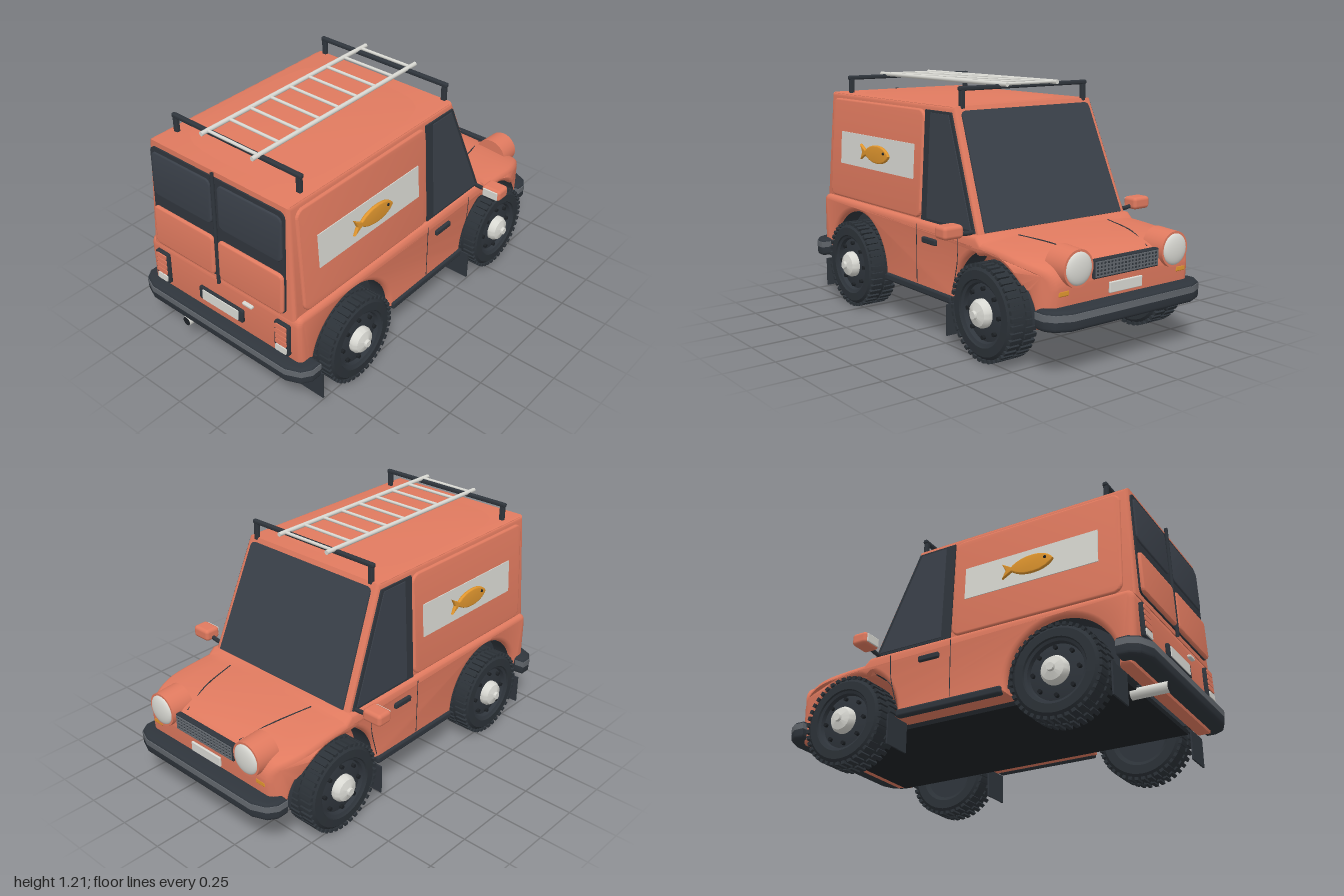
import * as THREE from 'three';
import { mergeGeometries, toCreasedNormals } from 'three/addons/utils/BufferGeometryUtils.js';
import { RoundedBoxGeometry } from 'three/addons/geometries/RoundedBoxGeometry.js';

const mat = (name, color, side = THREE.FrontSide) =>
  Object.assign(new THREE.MeshStandardMaterial({ color, side }), { name });
const M = {
  coral: mat('coral paint', 0xe07a5f),
  dark: mat('charcoal trim', 0x2f353c, THREE.DoubleSide),
  glass: mat('tinted glass', 0x3a4049),
  tyre: mat('rubber', 0x2c3238),
  floor: mat('underbody black', 0x1d2125),
  grey: mat('bumper strip grey', 0x62676d),
  light: mat('pale metal', 0xd8d8d2),
  orange: mat('orange', 0xe0962e),
};

const V = (x, y, z) => new THREE.Vector3(x, y, z);
const rbox = (w, h, d, r = 0.01) => new RoundedBoxGeometry(w, h, d, 3, r);
// half width of the cabin and its rear face, both leaning inward with height
const sideX = y => 0.46 - 0.06 * (y - 0.54);
const rearZ = y => 0.935 - 0.035 * (y - 0.54);

function poly(pts) {
  return new THREE.Shape(pts.map(p => new THREE.Vector2(p[0], p[1])));
}
function roundRect(x0, y0, x1, y1, r) {
  const s = new THREE.Shape();
  s.absarc(x1 - r, y1 - r, r, 0, Math.PI / 2);
  s.absarc(x0 + r, y1 - r, r, Math.PI / 2, Math.PI);
  s.absarc(x0 + r, y0 + r, r, Math.PI, Math.PI * 1.5);
  s.absarc(x1 - r, y0 + r, r, Math.PI * 1.5, Math.PI * 2);
  return s;
}
// extrusion from 0 to depth whose bevel stays inside the outline
function slab(shape, depth, bevel = 0, steps = 1) {
  const g = new THREE.ExtrudeGeometry(shape, {
    depth: depth - 2 * bevel, steps, curveSegments: 16, bevelEnabled: bevel > 0,
    bevelSize: bevel, bevelThickness: bevel, bevelOffset: -bevel, bevelSegments: 3,
  });
  return g.translate(0, 0, bevel);
}
function warp(geo, rule) {
  const p = geo.attributes.position;
  for (let i = 0; i < p.count; i++) p.setXYZ(i, ...rule(p.getX(i), p.getY(i), p.getZ(i)));
  return toCreasedNormals(geo, 0.6);
}
function mirrorX(geo) {
  const g = geo.index ? geo.toNonIndexed() : geo.clone();
  g.scale(-1, 1, 1);
  for (const a of Object.values(g.attributes)) {
    const n = a.itemSize;
    for (let i = 0; i < a.count; i += 3) for (let k = 0; k < n; k++) {
      const b = (i + 1) * n + k, c = (i + 2) * n + k, t = a.array[b];
      a.array[b] = a.array[c]; a.array[c] = t;
    }
  }
  return g;
}

function createWheel() {
  const w = new THREE.Group();
  const lathe = pts => new THREE.LatheGeometry(pts.map(p => new THREE.Vector2(p[0], p[1])), 48);
  const put = (name, g, m) => {
    const mesh = new THREE.Mesh(toCreasedNormals(g.rotateZ(-Math.PI / 2), 0.6), m);
    mesh.name = name; w.add(mesh);
  };
  put('tyre', lathe([[0.13, -0.06], [0.15, -0.075], [0.195, -0.075], [0.216, -0.055], [0.216, 0.055],
    [0.195, 0.075], [0.155, 0.077], [0.145, 0.06]]), M.tyre);
  put('rim', lathe([[0, -0.055], [0.15, -0.055], [0.152, 0.07], [0.138, 0.064], [0.132, 0.045],
    [0.09, 0.055], [0, 0.055]]), M.dark);
  put('hubCap', lathe([[0.066, 0.04], [0.066, 0.075], [0.055, 0.093], [0.02, 0.105], [0.018, 0.118],
    [0, 0.118]]), M.light);
  const lugs = [], bolts = [];
  for (let i = 0; i < 40; i++) for (const s of [-1, 1]) {
    lugs.push(new THREE.BoxGeometry(0.016, 0.064, 0.019).translate(0.217, s * 0.04, 0)
      .rotateY((i + (s > 0 ? 0.5 : 0)) * Math.PI / 20));
  }
  for (let i = 0; i < 8; i++) {
    bolts.push(new THREE.CylinderGeometry(0.01, 0.01, 0.02, 10).translate(0.112, 0.055, 0)
      .rotateY(i * Math.PI / 4));
  }
  put('treadLugs', mergeGeometries(lugs), M.tyre);
  put('wheelBolts', mergeGeometries(bolts), M.floor);
  return w;
}

export function createModel() {
  const van = new THREE.Group();
  van.name = 'van';
  const add = (name, geo, m, x = 0, y = 0, z = 0) => {
    const mesh = new THREE.Mesh(geo, m);
    mesh.name = name; mesh.position.set(x, y, z); van.add(mesh);
    return mesh;
  };
  const both = (name, geo, m) => {
    add(name + 'Left', geo, m);
    add(name + 'Right', mirrorX(geo), m);
  };
  const rod = (name, a, b, r, m) => add(name, new THREE.TubeGeometry(new THREE.LineCurve3(a, b), 1, r, 10), m);
  // plates lying on the cabin sides (drawn as -z, y) and on the tail (x, y)
  const sidePlate = (name, shape, d, bevel, m, off = 0) => both(name,
    warp(slab(shape, d, bevel), (u, v, w) => [sideX(v) + off + w, v, -u]), m);
  const rearPlate = (name, shape, d, bevel, m, off = 0) => add(name,
    warp(slab(shape, d, bevel), (x, y, w) => [x, y, rearZ(y) + off + w]), m);

  // lower body with open wheel arches and tapered, crowned bonnet
  const s = new THREE.Shape();
  s.moveTo(-0.91, 0.2); s.lineTo(-0.935, 0.3); s.lineTo(-0.935, 0.5);
  s.quadraticCurveTo(-0.935, 0.55, -0.9, 0.55); s.lineTo(0.46, 0.55);
  s.bezierCurveTo(0.65, 0.545, 0.8, 0.53, 0.88, 0.49);
  s.quadraticCurveTo(0.925, 0.46, 0.925, 0.4); s.lineTo(0.9, 0.2);
  for (const c of [0.565, -0.575]) s.absarc(c, 0.225, 0.275, -0.09, Math.PI + 0.09);
  s.closePath();
  add('lowerBody', warp(slab(s, 0.97, 0.025, 10), (u, v, w) => {
    const x = (w - 0.485) * (1 - 0.17 * Math.max(0, (u - 0.7) / 0.23) ** 2);
    const drop = u > 0.47 && v > 0.4 ? 0.03 * (x / 0.48) ** 2 : 0;
    return [x, v - drop, -u];
  }), M.coral);

  // cabin and cambered roof skin
  const cabin = poly([[-0.935, 0.53], [-0.915, 1.108], [0.225, 1.108], [0.465, 0.53]]);
  add('cabin', warp(slab(cabin, 0.92, 0.02), (u, v, w) => [(w - 0.46) * sideX(v) / 0.46, v, -u]), M.coral);
  add('roofSkin', warp(new THREE.BoxGeometry(0.84, 0.02, 1.1, 12, 1, 12), (x, y, z) =>
    [x, y + 1.094 + 0.022 * (1 - (x / 0.42) ** 2) * (1 - (z / 0.55) ** 2), z + 0.345]), M.coral);

  // windscreen on the sloping front
  const slope = Math.hypot(0.24, 0.578), screen = new THREE.Shape();
  screen.moveTo(-0.425, 0.025); screen.lineTo(0.425, 0.025);
  screen.lineTo(0.395, slope - 0.05); screen.quadraticCurveTo(0.392, slope - 0.025, 0.365, slope - 0.025);
  screen.lineTo(-0.365, slope - 0.025); screen.quadraticCurveTo(-0.392, slope - 0.025, -0.395, slope - 0.05);
  const ws = add('windscreen', slab(screen, 0.008), M.glass, 0, 0.53, -0.465);
  ws.rotation.set(Math.atan2(0.24, 0.578), Math.PI, 0, 'XYZ');

  // side panels, banners and door windows
  sidePlate('sidePanel', roundRect(-0.88, 0.555, 0.0, 1.08, 0.045), 0.024, 0.01, M.coral, -0.012);
  sidePlate('banner', poly([[-0.77, 0.738], [-0.07, 0.738], [-0.07, 0.908], [-0.77, 0.908]]), 0.005, 0, M.light, 0.011);
  sidePlate('doorWindowFrame', poly([[0.005, 0.552], [0.435, 0.552], [0.215, 1.08], [0.005, 1.08]]), 0.008, 0, M.dark);
  sidePlate('doorGlass', poly([[0.055, 0.565], [0.41, 0.565], [0.2, 1.068], [0.055, 1.068]]), 0.004, 0, M.glass, 0.008);
  for (const side of [1, -1]) {
    const fish = new THREE.Group();
    fish.name = side > 0 ? 'fishLeft' : 'fishRight';
    fish.position.set(side * 0.457, 0.822, 0.415);
    fish.rotation.y = side * Math.PI / 2;
    const body = new THREE.Shape();
    body.moveTo(-0.135, 0.04); body.lineTo(-0.085, 0.012);
    body.bezierCurveTo(-0.03, 0.06, 0.1, 0.06, 0.135, 0);
    body.bezierCurveTo(0.1, -0.06, -0.03, -0.06, -0.085, -0.012);
    body.lineTo(-0.135, -0.04); body.lineTo(-0.115, 0);
    const parts = [['fishBody', toCreasedNormals(slab(body, 0.018, 0.006), 0.6), M.orange],
      ['fishEye', new THREE.SphereGeometry(0.008, 10, 8).translate(0.095, 0.012, 0.017), M.floor]];
    for (const [n, g, m] of parts) fish.add(Object.assign(new THREE.Mesh(g, m), { name: n }));
    van.add(fish);
  }

  // rear doors, lamps and number plate
  rearPlate('rearDoorFrame', roundRect(-0.412, 0.555, 0.412, 1.082, 0.03), 0.008, 0, M.dark);
  for (const side of [1, -1]) {
    const span = (a, b, y0, y1, r) => side > 0 ? roundRect(a, y0, b, y1, r) : roundRect(-b, y0, -a, y1, r);
    rearPlate('rearWindow', span(0.022, 0.402, 0.832, 1.06, 0.03), 0.016, 0.005, M.glass);
    rearPlate('rearDoorPanel', span(0.015, 0.408, 0.56, 0.77, 0.025), 0.024, 0.01, M.coral);
    rearPlate('tailLampFrame', span(0.348, 0.434, 0.332, 0.502, 0.01), 0.02, 0.004, M.dark, -0.004);
    for (let i = 0; i < 4; i++)
      rearPlate('tailLampLens', span(0.358, 0.424, 0.384 + i * 0.028, 0.409 + i * 0.028, 0.005), 0.008, 0, M.coral, 0.014);
    rearPlate('reverseLamp', span(0.358, 0.424, 0.343, 0.376, 0.005), 0.008, 0, M.light, 0.014);
  }
  rod('rearDoorBar', V(0, 0.52, 0.948), V(0, 1.11, 0.932), 0.009, M.dark);
  rearPlate('rearPlateFrame', roundRect(-0.143, 0.358, 0.143, 0.428, 0.008), 0.016, 0.004, M.dark, -0.006);
  rearPlate('rearNumberPlate', roundRect(-0.117, 0.366, 0.117, 0.42, 0.004), 0.005, 0, M.light, 0.01);
  add('tailHandle', rbox(0.06, 0.015, 0.02, 0.005), M.light, 0.177, 0.482, 0.942);

  // bumpers drawn in plan, with a grey strip
  for (const [name, w, turn] of [['frontBumper', 0.47, 0], ['rearBumper', 0.54, Math.PI]]) {
    const plan = grow => {
      const half = [[w - 0.05, 0.86], [w + grow, 0.865], [w + grow, 0.92], [w - 0.03 + grow, 0.965],
        [w - 0.1, 0.994 + grow]];
      return poly([...half, ...half.slice().reverse().map(([x, z]) => [-x, z])]);
    };
    const rise = (g, y) => toCreasedNormals(g.rotateX(-Math.PI / 2).translate(0, y, 0), 0.6);
    add(name, rise(slab(plan(0), 0.092, 0.018), 0.214), M.dark).rotation.y = turn;
    add(name + 'Strip', rise(slab(plan(0.003), 0.03), 0.262), M.grey).rotation.y = turn;
  }

  // headlamps, indicators, grille and front plate
  for (const x of [-0.295, 0.295]) {
    add('headlampHousing', new THREE.CylinderGeometry(0.084, 0.09, 0.12, 32).rotateX(-Math.PI / 2), M.coral, x, 0.468, -0.883);
    add('headlampLens', new THREE.SphereGeometry(0.074, 28, 14).scale(1, 1, 0.3), M.light, x, 0.468, -0.941);
    add('indicator', rbox(0.06, 0.026, 0.04, 0.006), M.orange, x * 1.22, 0.365, -0.905);
  }
  add('grille', rbox(0.4, 0.085, 0.03, 0.006), M.dark, 0, 0.445, -0.92);
  const bars = [];
  for (let i = 0; i < 5; i++) bars.push(new THREE.BoxGeometry(0.38, 0.005, 0.008).translate(0, (i - 2) * 0.016, 0));
  for (let i = 0; i < 19; i++) bars.push(new THREE.BoxGeometry(0.005, 0.07, 0.008).translate((i - 9) * 0.021, 0, 0));
  add('grilleMesh', mergeGeometries(bars), M.grey, 0, 0.445, -0.936);
  add('frontNumberPlate', rbox(0.2, 0.05, 0.012, 0.004), M.light, 0, 0.35, -0.928);

  // bonnet and door seams, handles, sills, mirrors
  const tube = (pts, r) => new THREE.TubeGeometry(new THREE.CatmullRomCurve3(pts.map(p => V(...p))), 16, r, 6);
  both('bonnetSeam', tube([[0.28, 0.539, -0.52], [0.235, 0.526, -0.72], [0.18, 0.486, -0.88]], 0.003), M.dark);
  both('doorSeamFront', tube([[0.485, 0.53, -0.335], [0.485, 0.4, -0.325], [0.485, 0.25, -0.285]], 0.002), M.dark);
  both('doorSeamRear', tube([[0.485, 0.53, 0.01], [0.485, 0.4, 0.01], [0.485, 0.24, 0.01]], 0.002), M.dark);
  both('doorHandle', rbox(0.024, 0.03, 0.115, 0.008).translate(0.488, 0.465, -0.108), M.dark);
  both('sill', rbox(0.04, 0.04, 0.57, 0.012).translate(0.478, 0.214, 0), M.dark);
  both('mirrorArm', tube([[0.44, 0.56, -0.42], [0.5, 0.556, -0.415], [0.56, 0.565, -0.41]], 0.011), M.dark);
  both('mirrorShell', rbox(0.108, 0.062, 0.085, 0.018).translate(0.588, 0.576, -0.41), M.coral);
  both('mirrorGlass', rbox(0.085, 0.044, 0.008, 0.003).translate(0.588, 0.576, -0.367), M.light);

  // wheels, arch liners, mud flaps
  for (const z of [0.575, -0.565]) {
    for (const side of [1, -1]) {
      const wheel = createWheel();
      wheel.name = (z > 0 ? 'rear' : 'front') + 'Wheel' + (side > 0 ? 'Left' : 'Right');
      wheel.position.set(side * 0.46, 0.225, z);
      if (side < 0) wheel.rotation.y = Math.PI;
      van.add(wheel);
    }
    rod('axle', V(-0.42, 0.225, z), V(0.42, 0.225, z), 0.02, M.dark);
    both('archLiner', new THREE.CylinderGeometry(0.272, 0.272, 0.11, 32, 1, true, 0, Math.PI)
      .rotateZ(Math.PI / 2).translate(0.405, 0.225, z), M.dark);
    both('mudFlap', new THREE.BoxGeometry(0.15, 0.15, 0.008).translate(0.455, 0.13, z + 0.265), M.dark);
  }
  add('rearArchFill', new THREE.CylinderGeometry(0.27, 0.27, 0.74, 32, 1, false, 0, Math.PI)
    .rotateZ(Math.PI / 2), M.dark, 0, 0.225, 0.575);
  add('floor', new THREE.BoxGeometry(0.74, 0.024, 1.66), M.floor, 0, 0.19, 0);
  rod('exhaust', V(-0.235, 0.17, 0.8), V(-0.235, 0.17, 0.975), 0.026, M.light);
  add('exhaustEnd', new THREE.CircleGeometry(0.023, 16), M.floor, -0.235, 0.17, 0.974);

  // roof rack and ladder
  for (const z of [0.79, -0.22]) {
    add('rackBar', rbox(0.79, 0.022, 0.024, 0.008), M.dark, 0, 1.188, z);
    for (const x of [-0.376, 0.376]) add('rackPost', rbox(0.026, 0.1, 0.022, 0.006), M.dark, x, 1.143, z);
  }
  for (const x of [-0.155, 0.155]) {
    add('ladderRail', new THREE.CylinderGeometry(0.011, 0.011, 1.12, 12).rotateX(Math.PI / 2), M.light, x, 1.2, 0.28);
  }
  for (let i = 0; i < 9; i++) rod('ladderRung', V(-0.155, 1.2, -0.24 + i * 0.13), V(0.155, 1.2, -0.24 + i * 0.13), 0.008, M.light);
  return van;
}
